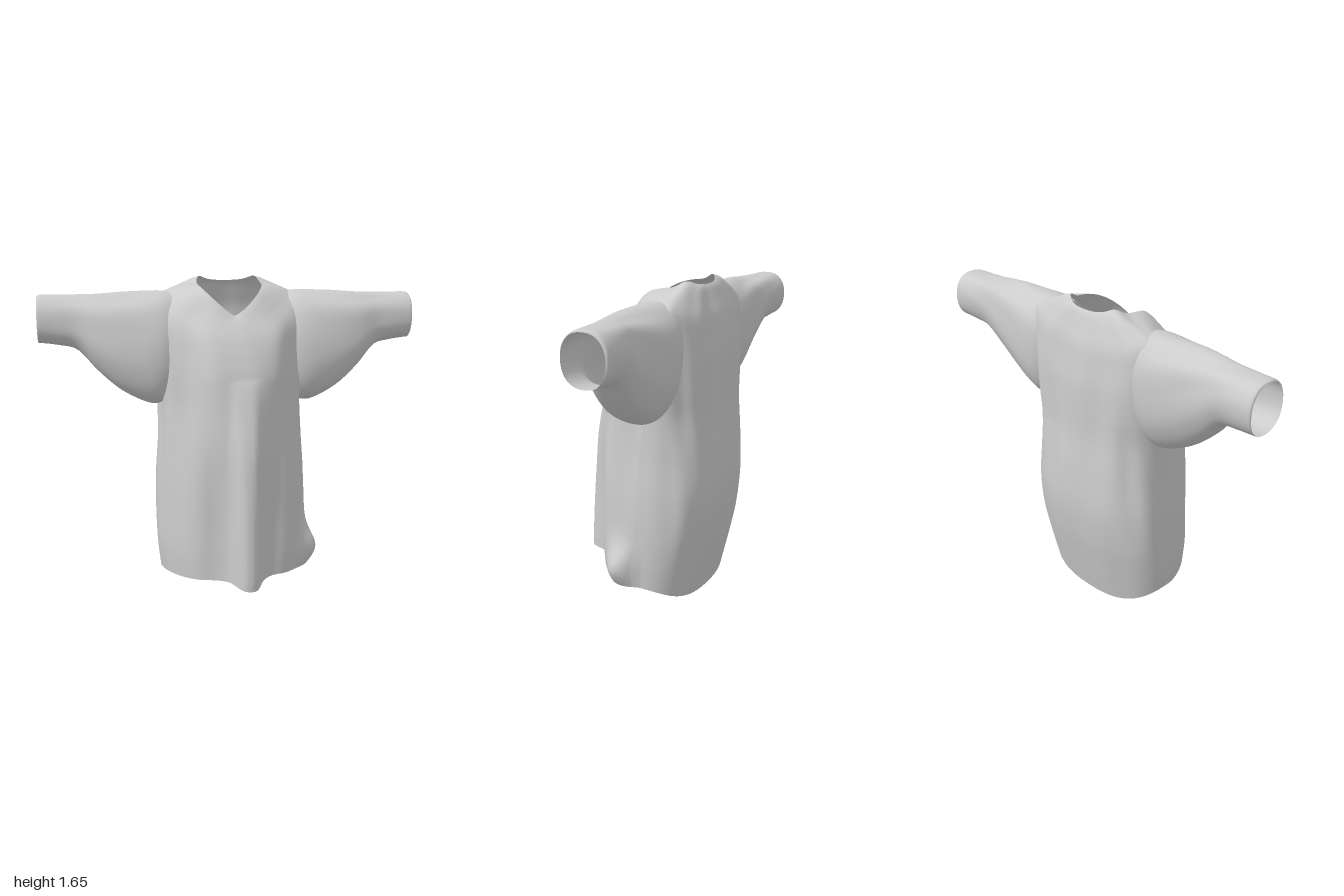
import * as THREE from 'three';

const material = new THREE.MeshStandardMaterial({ color: 0xcccccc, side: THREE.DoubleSide });
const bump = (d, s) => Math.exp(-(d * d) / (s * s));
const spow = (v, e) => Math.sign(v) * Math.abs(v) ** e;

// Smooth sampling of a table of cross-sections, t in 0..1
function sample(rows, t) {
  const f = t * (rows.length - 1), i = Math.min(Math.floor(f), rows.length - 2), u = f - i;
  const row = k => rows[Math.max(0, Math.min(rows.length - 1, k))];
  return rows[i].map((_, c) => {
    const [a, b, d, e] = [row(i - 1)[c], row(i)[c], row(i + 1)[c], row(i + 2)[c]];
    return b + 0.5 * u * (d - a + u * (2 * a - 5 * b + 4 * d - e + u * (3 * (b - d) + e - a)));
  });
}

// Open tube of cloth through closed rings; faces for which skip() is true are left out
function loft(name, rings, segs, point, skip = () => false) {
  const pos = [], index = [];
  for (let i = 0; i <= rings; i++)
    for (let j = 0; j < segs; j++) pos.push(...point(i / rings, (j / segs) * Math.PI * 2));
  for (let i = 0; i < rings; i++)
    for (let j = 0; j < segs; j++) {
      const k = (j + 1) % segs;
      const a = i * segs + j, b = i * segs + k, c = a + segs, d = b + segs;
      const mid = [0, 1, 2].map(n => (pos[a * 3 + n] + pos[b * 3 + n] + pos[c * 3 + n] + pos[d * 3 + n]) / 4);
      if (!skip(...mid)) index.push(a, c, b, b, c, d);
    }
  const g = new THREE.BufferGeometry();
  g.setAttribute('position', new THREE.Float32BufferAttribute(pos, 3));
  g.setIndex(index);
  g.computeVertexNormals();
  const mesh = new THREE.Mesh(g, material);
  mesh.name = name;
  return mesh;
}

// Body rings from hem to neck: y front, y side, y back, half width, z front, z back, z side
const bodyRows = [
  [0.11, 0.09, 0.00, 0.39, 0.305, -0.30, -0.06],
  [0.25, 0.23, 0.20, 0.405, 0.305, -0.345, -0.06],
  [0.40, 0.40, 0.40, 0.41, 0.305, -0.385, -0.08],
  [0.60, 0.60, 0.60, 0.405, 0.305, -0.405, -0.09],
  [0.80, 0.80, 0.80, 0.39, 0.30, -0.395, -0.10],
  [1.00, 1.00, 1.00, 0.385, 0.275, -0.375, -0.12],
  [1.15, 1.15, 1.15, 0.40, 0.25, -0.37, -0.14],
  [1.25, 1.30, 1.28, 0.41, 0.22, -0.365, -0.15],
  [1.33, 1.45, 1.39, 0.415, 0.185, -0.35, -0.16],
  [1.38, 1.54, 1.48, 0.39, 0.155, -0.335, -0.18],
  [1.42, 1.585, 1.55, 0.31, 0.125, -0.31, -0.18],
  [1.445, 1.605, 1.60, 0.23, 0.10, -0.29, -0.16],
  [1.46, 1.61, 1.62, 0.17, 0.08, -0.275, -0.13],
];

function bodyPoint(t, a) {
  const [yF, yS, yB, w, zF, zB, zS] = sample(bodyRows, t);
  const c = Math.cos(a), s = Math.sin(a), front = s > 0;
  const top = THREE.MathUtils.smoothstep(t, 0.75, 1);
  const q = front ? 2 - 0.85 * top : 3; // sharpens into the V neck
  let y = yS + ((front ? yF : yB) - yS) * (1 - Math.abs(c) ** q);
  let x = w * spow(c, 0.92);
  // the front tapers towards the sides, the back is broad and flat
  let z = zS + ((front ? zF : zB) - zS) * Math.abs(s) ** (front ? 1.3 - 0.3 * top : 0.62);
  // collar lifted at both sides of the neck
  y += 0.035 * top * bump(s + 0.5, 0.35);
  // soft vertical drapes, fading at hem and neck
  const fade = Math.sin(Math.PI * t);
  const drape = fade * (0.005 * Math.sin(9 * a + 3 * y) + 0.003 * Math.sin(14 * a - 5 * y));
  x += c * drape;
  z += s * drape;
  if (front) {
    // blunt centre front fold with a hollow on either side, growing towards the hem
    const low = Math.max(0, Math.min(1, 1.15 - y)) ** 0.7;
    const fold = Math.exp(-(((x - 0.03) / 0.07) ** 4));
    z += low * (0.1 * fold - 0.02 * bump(x + 0.13, 0.07) - 0.03 * bump(x - 0.18, 0.06));
    // slanted folds under the arms
    z -= 0.012 * bump(Math.abs(x) - 0.27 + 0.1 * (y - 1.1), 0.04) * bump(y - 0.95, 0.25);
    y -= 0.02 * bump(x - 0.04, 0.08) * bump(t, 0.08);
  }
  // hem corner kicked outward on the left side
  const kick = bump(a - 0.33, 0.28) * bump(y - 0.18, 0.11);
  x += 0.075 * kick;
  z += 0.02 * kick;
  return [x, y, z];
}

// Sleeve sections from inside the armhole to the cuff: x, top y, bottom y, z front, z back
const sleeveRows = [
  [0.27, 1.56, 1.09, 0.01, -0.27],
  [0.34, 1.575, 1.015, 0.045, -0.305],
  [0.41, 1.575, 0.99, 0.055, -0.31],
  [0.50, 1.57, 1.02, 0.045, -0.30],
  [0.60, 1.565, 1.08, 0.025, -0.285],
  [0.70, 1.56, 1.17, -0.005, -0.28],
  [0.80, 1.56, 1.275, -0.045, -0.29],
  [0.90, 1.56, 1.30, -0.06, -0.30],
  [0.985, 1.56, 1.31, -0.07, -0.305],
  [1.00, 1.55, 1.31, -0.075, -0.295],
];

function sleevePoint(t, a) {
  const [x, top, bottom, zF, zB] = sample(sleeveRows, t);
  const c = Math.cos(a), s = Math.sin(a);
  // lengthwise creases along the upper side
  const crease = 1 + 0.03 * Math.sin(Math.PI * t) ** 2 * Math.sin(7 * a + 6 * x) * (0.5 + 0.5 * s);
  const y = (top + bottom) / 2 + ((top - bottom) / 2) * spow(s, 0.9) * crease;
  const z = (zF + zB) / 2 + ((zF - zB) / 2) * spow(c, 0.85) * crease - 0.03 * s * (1 - t);
  return [x, y, z];
}

// Region of the body that opens into a sleeve
const inArmhole = (x, y, z) =>
  Math.abs(x) > 0.31 && ((y - 1.3) / 0.24) ** 2 + ((z + 0.135) / 0.14) ** 2 < 1;

export function createModel() {
  const shirt = new THREE.Group();
  shirt.name = 'shirt';
  shirt.add(loft('body', 110, 160, bodyPoint, inArmhole));
  for (const side of [1, -1]) {
    const point = (t, a) => {
      const [x, y, z] = sleevePoint(t, side * a); // reversed loop keeps the mirrored faces outward
      return [side * x, y, z];
    };
    shirt.add(loft(side > 0 ? 'leftSleeve' : 'rightSleeve', 50, 72, point));
  }
  return shirt;
}
